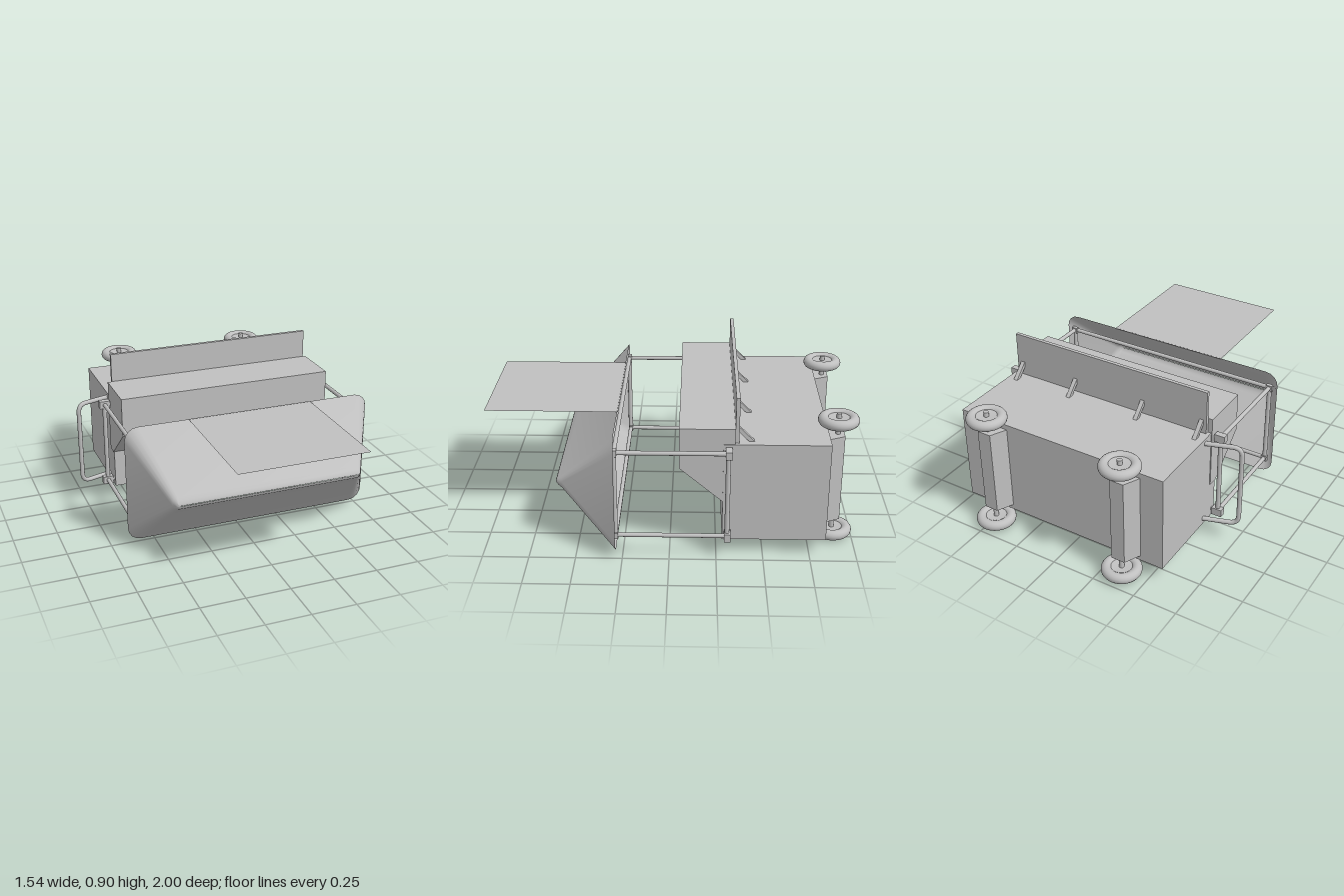
import * as THREE from 'three';
import { toCreasedNormals } from 'three/addons/utils/BufferGeometryUtils.js';

export function createModel() {
  const model = new THREE.Group();
  model.name = 'wheeledContainer';
  const grey = new THREE.MeshStandardMaterial({ color: 0xc0c0c0, side: THREE.DoubleSide });
  grey.name = 'plainGrey';

  const add = (name, geo, parent = model) => {
    const mesh = new THREE.Mesh(geo, grey);
    mesh.name = name;
    parent.add(mesh);
    return mesh;
  };
  // Box given by its minimum and maximum corners
  const box = (name, a, b) => add(name, new THREE.BoxGeometry(b[0] - a[0], b[1] - a[1], b[2] - a[2])
    .translate((a[0] + b[0]) / 2, (a[1] + b[1]) / 2, (a[2] + b[2]) / 2));
  // Round bar between two points
  const bar = (name, a, b, r) => {
    const from = new THREE.Vector3(...a), dir = new THREE.Vector3(...b).sub(from);
    const mesh = add(name, new THREE.CylinderGeometry(r, r, dir.length(), 16));
    mesh.position.copy(from).addScaledVector(dir, 0.5);
    mesh.quaternion.setFromUnitVectors(new THREE.Vector3(0, 1, 0), dir.normalize());
  };
  const extrude = (pts, depth) => new THREE.ExtrudeGeometry(
    new THREE.Shape(pts.map(p => new THREE.Vector2(...p))), { depth, bevelEnabled: false });
  // (z, y) profile run along x
  const prismX = (name, pts, x0, x1) =>
    add(name, extrude(pts, x1 - x0).rotateY(-Math.PI / 2).translate(x1, 0, 0));

  // Main container with a shallow rim around its underside
  box('container', [-0.575, 0.115, -0.835], [0.685, 0.65, -0.28]);
  box('rimFront', [-0.575, 0.09, -0.295], [0.685, 0.115, -0.28]);
  box('rimBack', [-0.575, 0.09, -0.835], [0.685, 0.115, -0.82]);
  box('rimRight', [-0.575, 0.09, -0.82], [-0.56, 0.115, -0.295]);
  box('rimLeft', [0.67, 0.09, -0.82], [0.685, 0.115, -0.295]);

  // Overhanging front compartment with sloping underside
  prismX('frontCompartment',
    [[-0.05, 0.735], [-0.05, 0.51], [-0.28, 0.315], [-0.34, 0.315], [-0.34, 0.735]], -0.58, 0.682);

  // Upright panel and its diagonal struts
  box('backPanel', [-0.555, 0.64, -0.36], [0.665, 0.9, -0.34]);
  for (const x of [-0.525, -0.165, 0.27, 0.63]) {
    prismX('panelStrut', [[-0.355, 0.735], [-0.355, 0.705], [-0.415, 0.645], [-0.445, 0.645]],
      x - 0.012, x + 0.012);
  }

  // Hood: shrinking rounded rectangles from the open rim to the ridge
  const ring = (hw, hh, r, z) => {
    const pts = [], n = 4;
    [[1, 1], [-1, 1], [-1, -1], [1, -1]].forEach(([sx, sy], q) => {
      for (let i = 0; i <= n; i++) {
        const a = (q + i / n) * Math.PI / 2;
        pts.push([0.055 + sx * (hw - r) + r * Math.cos(a), 0.372 + sy * (hh - r) + r * Math.sin(a), z]);
      }
    });
    return pts;
  };
  const rings = [
    ring(0.717, 0.337, 0.075, 0.285), ring(0.55, 0.038, 0.03, 0.575), ring(0.538, 0.025, 0.022, 0.594),
    ring(0.528, 0.012, 0.011, 0.606), ring(0.518, 0.001, 0.0005, 0.61),
  ];
  const count = rings[0].length, index = [];
  for (let k = 0; k < rings.length - 1; k++) {
    for (let i = 0; i < count; i++) {
      const a = k * count + i, b = k * count + (i + 1) % count;
      index.push(a, b, b + count, a, b + count, a + count);
    }
  }
  const hood = new THREE.BufferGeometry();
  hood.setAttribute('position', new THREE.Float32BufferAttribute(rings.flat(2), 3));
  hood.setIndex(index);
  add('hood', toCreasedNormals(hood, 0.65));

  // Flat sheet above the hood
  add('topSheet', new THREE.PlaneGeometry(0.72, 0.72).rotateX(-Math.PI / 2).translate(0.06, 0.708, 0.64));

  // Two rectangular rod frames joined by four long rods
  const xs = [-0.615, 0.72], ys = [0.13, 0.615];
  for (const z of [0.285, -0.305]) {
    for (const x of xs) bar('frameUpright', [x, ys[0], z], [x, ys[1], z], 0.013);
    for (const y of ys) bar('frameCrossbar', [xs[0], y, z], [xs[1], y, z], 0.012);
  }
  for (const x of xs) {
    for (const y of ys) {
      bar('frameRod', [x, y, -0.305], [x, y, 0.29], 0.012);
      box('frameJoint', [x - 0.03, y - 0.022, -0.325], [x + 0.03, y + 0.022, -0.29]);
      box('frameEnd', [x - 0.018, y - 0.018, 0.27], [x + 0.018, y + 0.018, 0.292]);
    }
  }

  // Push handle on the right side, with rounded corners
  const P = (x, y, z) => new THREE.Vector3(x, y, z);
  const handle = new THREE.CurvePath();
  handle.add(new THREE.LineCurve3(P(-0.57, 0.125, -0.402), P(-0.71, 0.125, -0.357)));
  handle.add(new THREE.QuadraticBezierCurve3(P(-0.71, 0.125, -0.357), P(-0.76, 0.125, -0.341), P(-0.76, 0.175, -0.341)));
  handle.add(new THREE.LineCurve3(P(-0.76, 0.175, -0.341), P(-0.76, 0.57, -0.341)));
  handle.add(new THREE.QuadraticBezierCurve3(P(-0.76, 0.57, -0.341), P(-0.76, 0.62, -0.341), P(-0.71, 0.62, -0.357)));
  handle.add(new THREE.LineCurve3(P(-0.71, 0.62, -0.357), P(-0.57, 0.62, -0.402)));
  add('handle', new THREE.TubeGeometry(handle, 80, 0.013, 12));

  // Axle housings, axles and wheels along the back
  const V = (x, y) => new THREE.Vector2(x, y);
  for (const x of [-0.36, 0.47]) {
    add('axleHousing', extrude([[-0.085, 0.83], [0.085, 0.83], [0.04, 0.925], [-0.04, 0.925]], 0.5)
      .rotateX(-Math.PI / 2).scale(1, 1, 1).translate(x, 0.12, 0));
    bar('axle', [x, 0, -0.89], [x, 0.738, -0.89], 0.014);
    for (const y of [0.04, 0.7]) {
      const wheel = new THREE.Group();
      wheel.name = 'wheel';
      wheel.position.set(x, y, -0.89);
      add('tyre', new THREE.TorusGeometry(0.081, 0.029, 16, 40).rotateX(Math.PI / 2), wheel);
      add('wheelDisc', toCreasedNormals(new THREE.LatheGeometry([
        V(0, -0.012), V(0.03, -0.012), V(0.075, -0.018), V(0.075, 0.018), V(0.03, 0.012), V(0, 0.012),
      ], 40), 0.6), wheel);
      model.add(wheel);
    }
  }
  return model;
}
